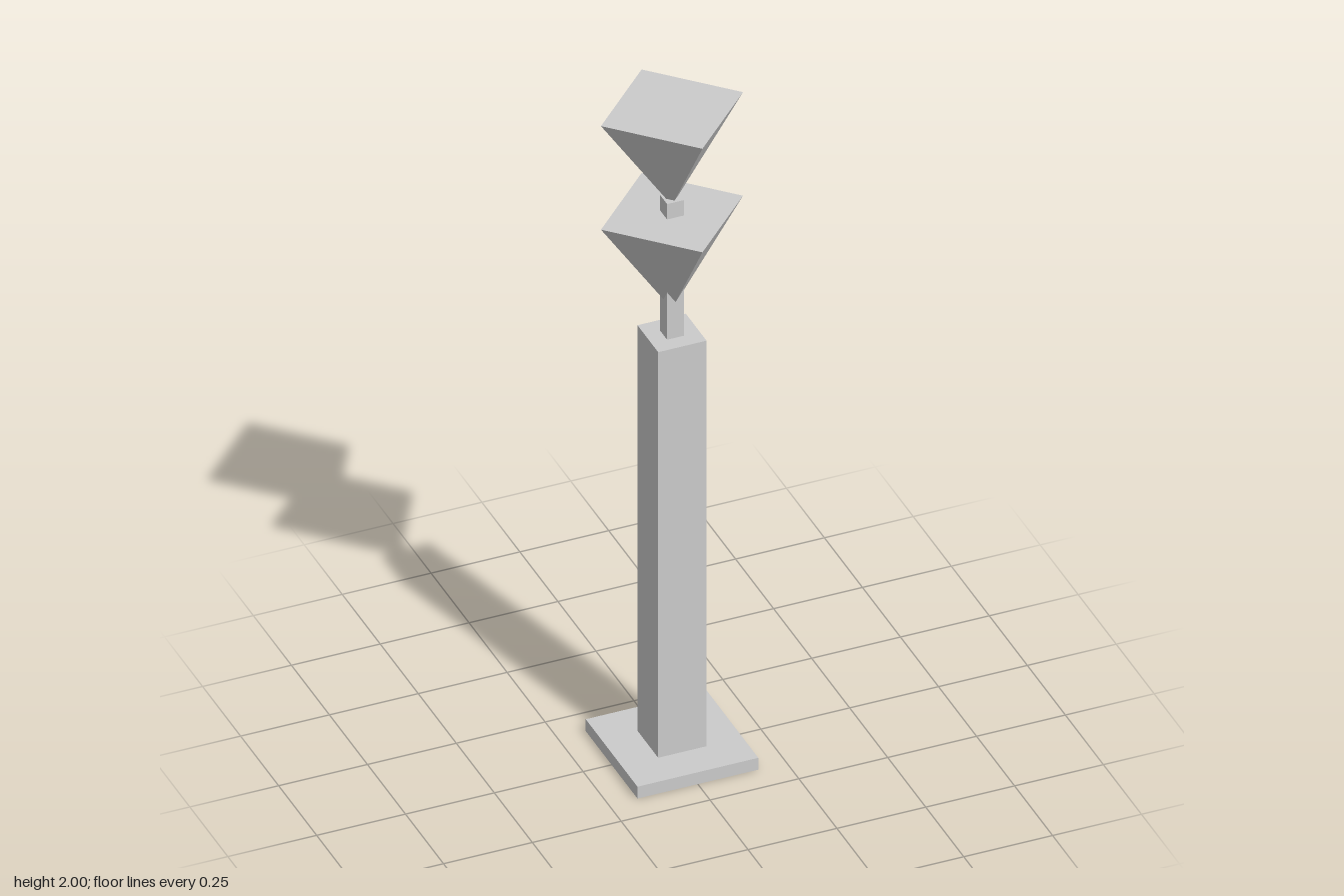
import * as THREE from 'three';

export function createModel() {
  const group = new THREE.Group();
  const material = new THREE.MeshStandardMaterial({ color: 0xcccccc, flatShading: true });

  const add = (name, geometry, y) => {
    const mesh = new THREE.Mesh(geometry, material);
    mesh.name = name;
    mesh.position.y = y;
    group.add(mesh);
  };

  // Square block between two heights
  const block = (name, width, bottom, top) =>
    add(name, new THREE.BoxGeometry(width, top - bottom, width), (top + bottom) / 2);

  // Upside-down pyramid, corners on the x and z axes
  const pyramid = (name, top, height = 0.3) =>
    add(name, new THREE.CylinderGeometry(0.2, 0, height, 4), top - height / 2);

  block('basePlate', 0.34, 0, 0.037);
  block('column', 0.136, 0.037, 1.302);
  block('post', 0.048, 1.302, 1.725);
  pyramid('lowerPyramid', 1.677);
  pyramid('upperPyramid', 2);

  return group;
}
